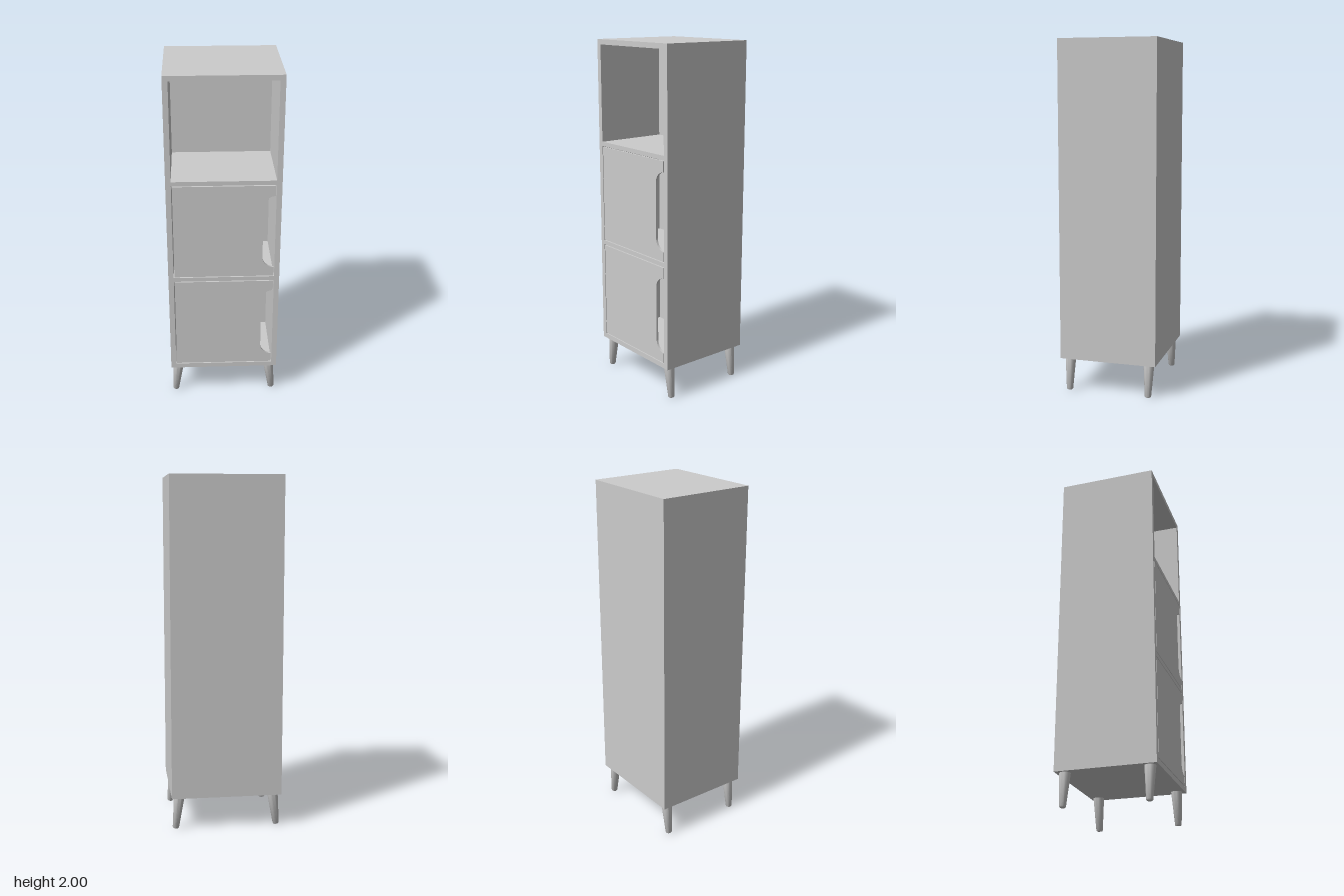
import * as THREE from 'three';
import { toCreasedNormals } from 'three/addons/utils/BufferGeometryUtils.js';

const W = 0.316, D = 0.281;          // half width and half depth
const BOTTOM = 0.19, TOP = 2;
const INNER = 0.286;                 // half width of the openings
const BACK = -0.14;                  // inner face of the back
const BAYS = [[0.219, 0.793], [0.818, 1.39], [1.415, 1.971]];

export function createModel() {
  const root = new THREE.Group();
  const material = new THREE.MeshStandardMaterial({ color: 0xcccccc });
  const add = (name, geometry, parent = root) => {
    const mesh = new THREE.Mesh(geometry, material);
    mesh.name = name;
    parent.add(mesh);
    return mesh;
  };
  const rect = (path, x, y0, y1) =>
    path.moveTo(-x, y0).lineTo(x, y0).lineTo(x, y1).lineTo(-x, y1).closePath();

  // Carcass: outer walls and shelves around three openings
  const frame = rect(new THREE.Shape(), W, BOTTOM, TOP);
  for (const [y0, y1] of BAYS) frame.holes.push(rect(new THREE.Path(), INNER, y0, y1));
  const carcass = new THREE.ExtrudeGeometry(frame, { depth: D - BACK, bevelEnabled: false });
  add('carcass', carcass).position.z = BACK;

  // Solid back closing the openings
  const backDepth = BACK + D;
  add('back', new THREE.BoxGeometry(2 * W, TOP - BOTTOM, backDepth))
    .position.set(0, (TOP + BOTTOM) / 2, -D + backDepth / 2);

  // Two flush doors with a rounded hand cut-out on the left edge
  const gap = 0.005, thick = 0.012, cutX = 0.217, r = 0.065;
  BAYS.slice(0, 2).forEach(([y0, y1], i) => {
    const x = INNER - gap, a = y0 + gap, b = y1 - gap;
    const mid = (y0 + y1) / 2 - 0.003, c0 = mid - 0.222, c1 = mid + 0.222;
    const door = new THREE.Shape();
    door.moveTo(-x, a).lineTo(x, a).lineTo(x, c0);
    door.absarc(cutX + r, c0 + r, r, -Math.PI / 2, -Math.PI, true);
    door.absarc(cutX + r, c1 - r, r, Math.PI, Math.PI / 2, true);
    door.lineTo(x, c1).lineTo(x, b).lineTo(-x, b).closePath();
    const geometry = new THREE.ExtrudeGeometry(door, { depth: thick, bevelEnabled: false, curveSegments: 10 });
    add(i ? 'upperDoor' : 'lowerDoor', toCreasedNormals(geometry, 0.6)).position.z = D - thick;
  });

  // Tapered round legs, splayed sideways
  const profile = [[0, 0], [0.015, 0], [0.0185, 0.005], [0.031, 0.191]]
    .map(([x, y]) => new THREE.Vector2(x, y));
  const legGeometry = toCreasedNormals(new THREE.LatheGeometry(profile, 24), 0.6);
  const legs = new THREE.Group();
  legs.name = 'legs';
  root.add(legs);
  for (const sx of [-1, 1]) {
    for (const sz of [-1, 1]) {
      const leg = add((sz > 0 ? 'front' : 'back') + (sx > 0 ? 'Left' : 'Right') + 'Leg', legGeometry, legs);
      leg.position.set(sx * 0.293, 0.002, sz * 0.234);
      leg.rotation.z = sx * 0.115;
    }
  }
  return root;
}
